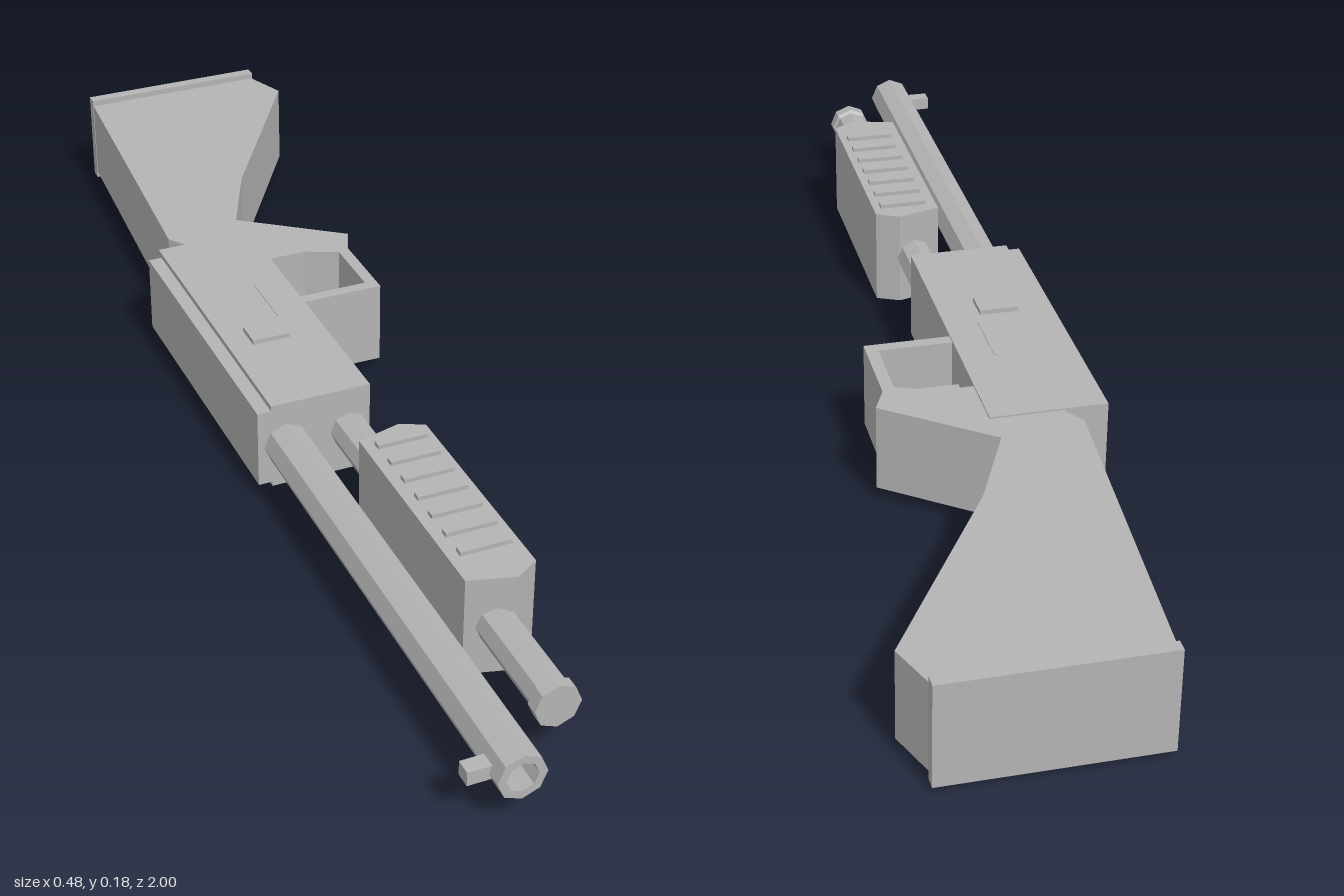
import * as THREE from 'three';

const MID = 0.093; // height of the central plane

export function createModel() {
  const group = new THREE.Group();
  const grey = new THREE.MeshStandardMaterial({ color: 0xb4b4b4, flatShading: true });

  const add = (name, geometry) => {
    const mesh = new THREE.Mesh(geometry, grey);
    mesh.name = name;
    group.add(mesh);
    return mesh;
  };
  // box from its limits on each axis
  const box = (name, x0, x1, y0, y1, z0, z1) =>
    add(name, new THREE.BoxGeometry(x1 - x0, y1 - y0, z1 - z0)
      .translate((x0 + x1) / 2, (y0 + y1) / 2, (z0 + z1) / 2));
  // outline of [x, z] points, extruded upward from y0 to y1
  const toPoints = (list) => list.map(([x, z]) => new THREE.Vector2(x, z));
  const slab = (name, outline, y0, y1, hole) => {
    const shape = new THREE.Shape(toPoints(outline));
    if (hole) shape.holes.push(new THREE.Path(toPoints(hole)));
    const geometry = new THREE.ExtrudeGeometry(shape, { depth: y1 - y0, bevelEnabled: false });
    return add(name, geometry.rotateX(Math.PI / 2).translate(0, y1, 0));
  };
  // eight-sided turned part along z, profile of [radius, z] points
  const turned = (name, x, profile) =>
    add(name, new THREE.LatheGeometry(toPoints(profile), 8)
      .rotateX(Math.PI / 2).translate(x, MID, 0));

  // stock and trigger guard share one outline
  slab('stockAndGuard', [
    [-0.125, -0.98], [0.207, -0.98], [0.236, -0.905], [0.035, -0.58], [-0.03, -0.435],
    [0.135, -0.31], [0.115, -0.265], [0.115, -0.12], [-0.06, -0.12], [-0.06, -0.36],
    [-0.145, -0.36], [-0.145, -0.385], [-0.165, -0.415],
  ], 0.021, 0.166, [
    [-0.04, -0.28], [0.04, -0.28], [0.095, -0.255], [0.095, -0.14], [-0.04, -0.14],
  ]);
  box('buttPlate', -0.126, 0.208, 0.01, 0.177, -1, -0.98);
  box('trigger', -0.03, 0.052, 0.073, 0.113, -0.197, -0.183);

  // receiver with its rib, button and slide rail
  box('receiver', -0.195, -0.026, 0.017, 0.169, -0.38, 0.162);
  box('receiverRib', -0.218, -0.19, 0.025, 0.16, -0.367, 0.162);
  box('button', -0.155, -0.09, 0.165, 0.177, -0.068, -0.02);
  box('slideRail', -0.085, -0.08, 0.165, 0.1705, -0.2, -0.09);

  // barrel with open bore, and front sight
  turned('barrel', -0.17, [
    [0.037, 0.15], [0.037, 1], [0.024, 1], [0.024, 0.88], [0, 0.88],
  ]);
  box('frontSight', -0.239, -0.2, 0.081, 0.104, 0.95, 0.975);

  // magazine tube with wider end cap
  turned('magazineTube', -0.063, [
    [0.031, 0.15], [0.031, 0.868], [0.036, 0.872], [0.036, 0.893], [0, 0.893],
  ]);

  // pump grip, ribbed on both flat faces
  slab('pumpGrip', [
    [-0.11, 0.315], [-0.036, 0.295], [0.003, 0.313],
    [0.003, 0.687], [-0.036, 0.712], [-0.11, 0.692],
  ], 0.009, 0.177);
  for (let i = 0; i < 7; i++) {
    const z = 0.34 + i * 0.0485;
    box('pumpRibUpper', -0.092, -0.01, 0.17, 0.184, z - 0.007, z + 0.007);
    box('pumpRibLower', -0.092, -0.01, 0, 0.02, z - 0.007, z + 0.007);
  }
  return group;
}
